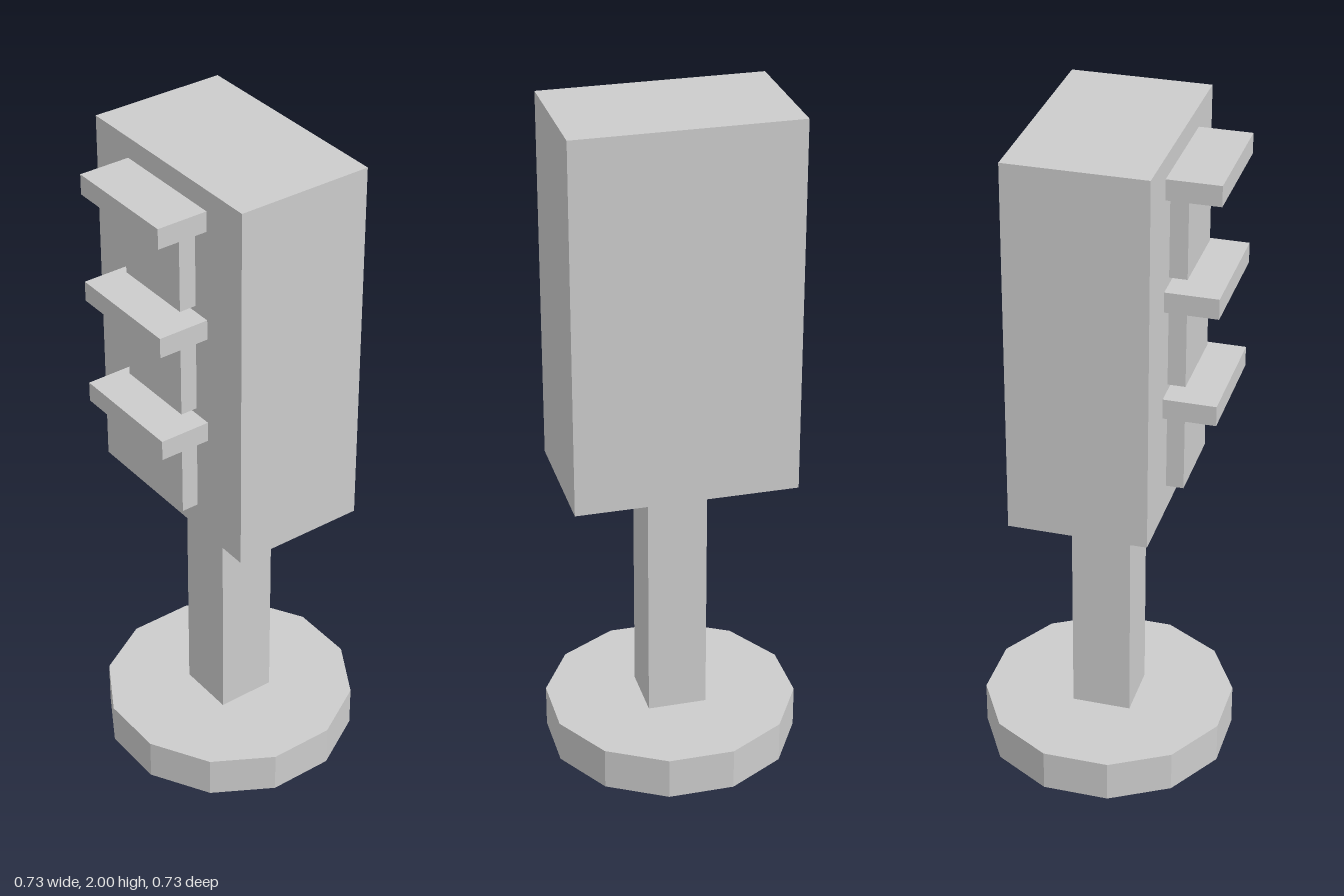
import * as THREE from 'three';

export function createModel() {
  const model = new THREE.Group();
  model.name = 'trafficLight';

  const grey = new THREE.MeshStandardMaterial({ color: 0xcccccc, flatShading: true });
  grey.name = 'grey';

  const add = (name, geometry, x, y, z) => {
    const mesh = new THREE.Mesh(geometry, grey);
    mesh.name = name;
    mesh.position.set(x, y, z);
    model.add(mesh);
  };

  // Box centred on x, given by its width, y range and z range
  const addBox = (name, width, y0, y1, z0, z1) =>
    add(name, new THREE.BoxGeometry(width, y1 - y0, z1 - z0), 0, (y0 + y1) / 2, (z0 + z1) / 2);

  // Twelve-sided foot with flat sides facing the axes
  const baseHeight = 0.127;
  add('base', new THREE.CylinderGeometry(0.379, 0.379, baseHeight, 12, 1, false, Math.PI / 12),
    0, baseHeight / 2, 0);

  // Square post and signal housing
  addBox('post', 0.177, baseHeight, 0.89, -0.0885, 0.0885);
  addBox('housing', 0.656, 0.89, 2, -0.202, 0.202);

  // Three square lamps, each under a projecting hood
  ['bottom', 'middle', 'top'].forEach((level, i) => {
    const y = 0.97 + i * 0.329;
    addBox(level + 'Lamp', 0.25, y, y + 0.25, 0.202, 0.253);
    addBox(level + 'Hood', 0.354, y + 0.25, y + 0.31, 0.202, 0.354);
  });

  return model;
}
